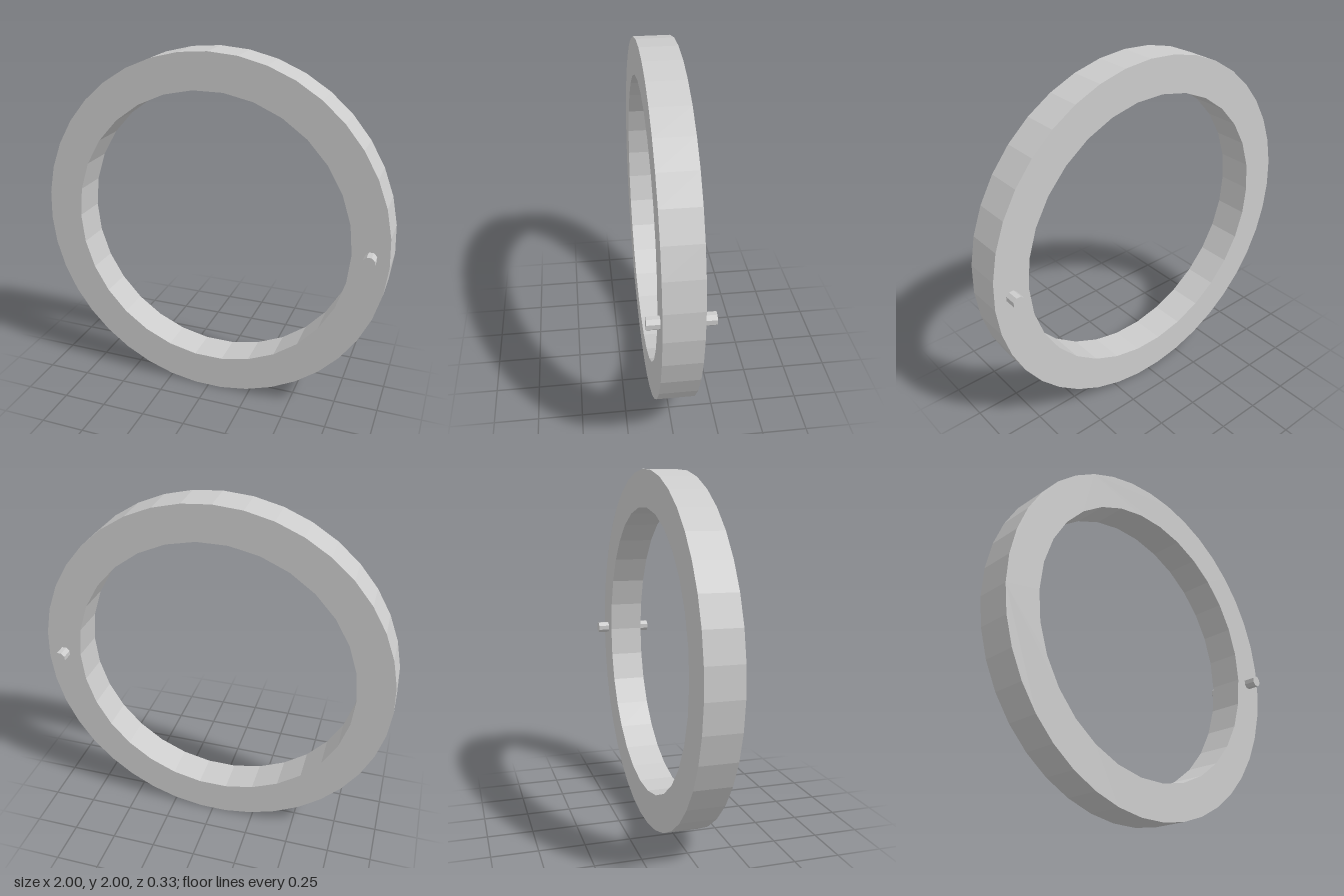
import * as THREE from 'three';

// Regular polygon outline with its first corner at the given angle
function polygon(PathType, radius, sides, start) {
  const points = [];
  for (let i = 0; i < sides; i++) {
    const a = start + (i / sides) * Math.PI * 2;
    points.push(new THREE.Vector2(radius * Math.cos(a), radius * Math.sin(a)));
  }
  const path = new PathType(points);
  path.closePath();
  return path;
}

export function createModel() {
  const model = new THREE.Group();
  model.name = 'ringWithPin';
  const material = new THREE.MeshStandardMaterial({ color: 0xcccccc, flatShading: true });

  // Flat-sided ring: finer outer rim, coarser inner rim
  const depth = 0.2;
  const shape = polygon(THREE.Shape, 1, 39, Math.PI / 2);
  shape.holes.push(polygon(THREE.Path, 0.8, 30, 0));
  const ringGeometry = new THREE.ExtrudeGeometry(shape, { depth, bevelEnabled: false });
  ringGeometry.translate(0, 1, -depth / 2);
  const ring = new THREE.Mesh(ringGeometry, material);
  ring.name = 'ring';
  model.add(ring);

  // Small pin running through the ring from front to back
  const pinGeometry = new THREE.CylinderGeometry(0.034, 0.034, 0.334, 8);
  pinGeometry.rotateY(Math.PI / 8);
  pinGeometry.rotateX(Math.PI / 2);
  const pin = new THREE.Mesh(pinGeometry, material);
  pin.name = 'pin';
  pin.position.set(0.9, 1, 0);
  model.add(pin);

  return model;
}
